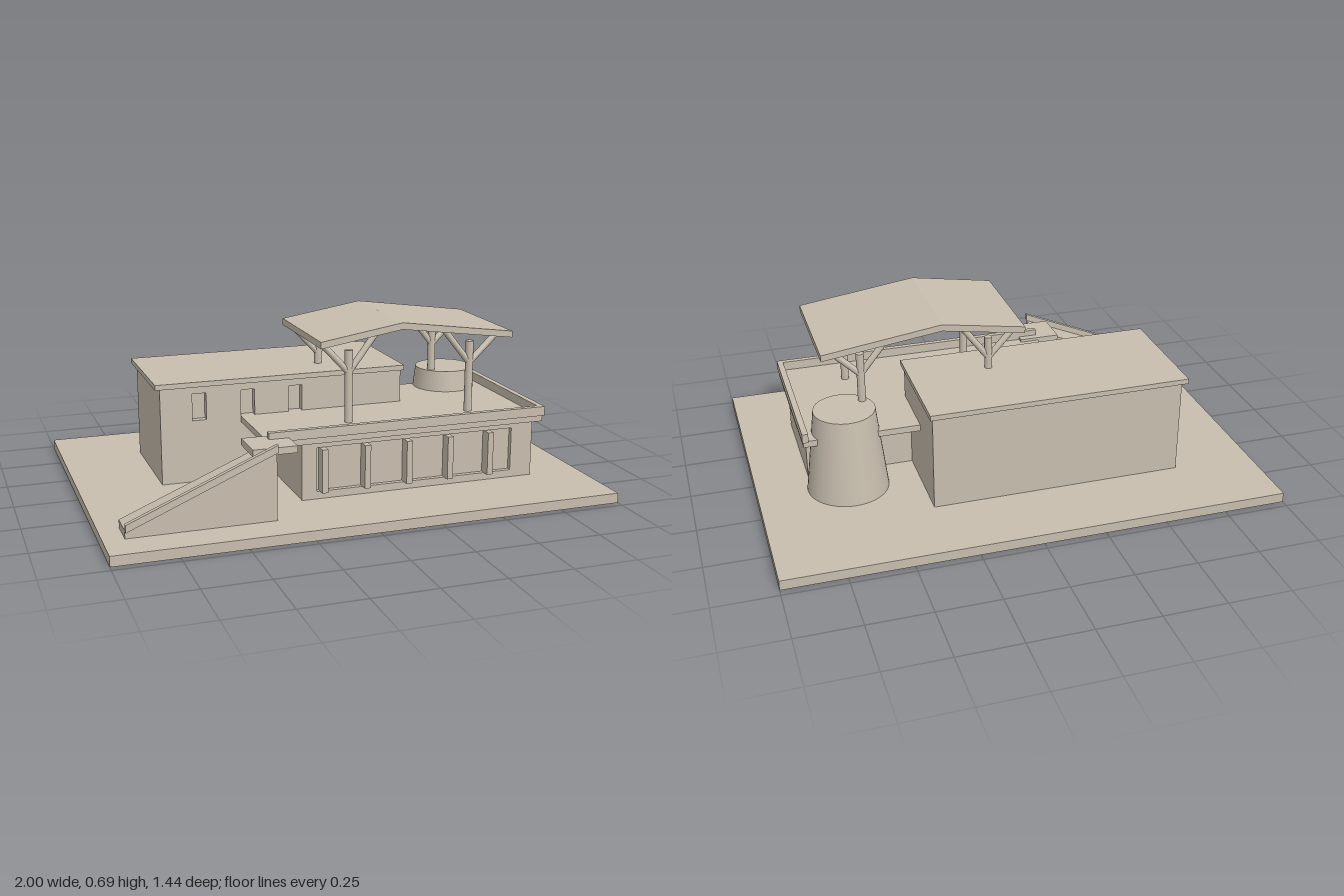
import * as THREE from 'three';

export function createModel() {
  const model = new THREE.Group();
  model.name = 'terraceHouse';
  const clay = new THREE.MeshStandardMaterial({ color: 0xc8beae });
  clay.name = 'clay';

  const add = (name, geometry, parent = model) => {
    const mesh = new THREE.Mesh(geometry, clay);
    mesh.name = name;
    parent.add(mesh);
    return mesh;
  };
  const group = (name) => {
    const g = new THREE.Group();
    g.name = name;
    model.add(g);
    return g;
  };
  // Box from its extents on each axis
  const box = (name, [x0, x1], [y0, y1], [z0, z1], parent) => {
    const mesh = add(name, new THREE.BoxGeometry(x1 - x0, y1 - y0, z1 - z0), parent);
    mesh.position.set((x0 + x1) / 2, (y0 + y1) / 2, (z0 + z1) / 2);
    return mesh;
  };
  const outline = (points, Kind = THREE.Shape) =>
    new Kind(points.map(([x, y]) => new THREE.Vector2(x, y)));
  const rect = (x0, x1, y0, y1) => [[x0, y0], [x1, y0], [x1, y1], [x0, y1]];
  // Profile in x and y, extruded from z0 to z1
  const slab = (name, points, z0, z1, holes = [], parent) => {
    const shape = outline(points);
    holes.forEach((h) => shape.holes.push(outline(h, THREE.Path)));
    const geometry = new THREE.ExtrudeGeometry(shape, { depth: z1 - z0, bevelEnabled: false });
    geometry.translate(0, 0, z0);
    return add(name, geometry, parent);
  };
  // Round bar between two points
  const bar = (name, from, to, radius, parent) => {
    const a = new THREE.Vector3(...from);
    const b = new THREE.Vector3(...to);
    const dir = b.clone().sub(a);
    const mesh = add(name, new THREE.CylinderGeometry(radius, radius, dir.length(), 16), parent);
    mesh.position.copy(a).add(b).multiplyScalar(0.5);
    mesh.quaternion.setFromUnitVectors(new THREE.Vector3(0, 1, 0), dir.normalize());
  };

  box('ground', [-1, 1], [0, 0.04], [-0.72, 0.72]);

  // Rear block with three recessed windows and a flat roof
  const rear = group('rearBlock');
  box('rearWalls', [-0.67, 0.35], [0.04, 0.435], [-0.417, 0.015], rear);
  const windows = [-0.54, -0.34, -0.14].map((x) => rect(x, x + 0.057, 0.295, 0.405));
  slab('rearFrontWall', rect(-0.67, 0.35, 0.04, 0.435), 0.015, 0.045, windows, rear);
  box('rearRoof', [-0.69, 0.362], [0.434, 0.455], [-0.435, 0.057], rear);

  // Front block with a long recessed opening divided by fins
  const front = group('frontBlock');
  box('frontWalls', [-0.2, 0.783], [0.04, 0.272], [-0.05, 0.38], front);
  slab('frontWall', rect(-0.2, 0.783, 0.04, 0.272), 0.38, 0.4,
    [rect(-0.14, 0.69, 0.07, 0.247)], front);
  for (let i = 0; i < 5; i++) {
    const x = -0.115 + i * 0.175;
    box('fin', [x - 0.012, x + 0.012], [0.07, 0.245], [0.37, 0.43], front);
  }

  // Terrace floor and its low parapet
  const terrace = group('terrace');
  box('terraceFloor', [-0.342, 0.813], [0.272, 0.298], [-0.215, 0.427], terrace);
  box('frontParapet', [-0.342, 0.817], [0.297, 0.335], [0.415, 0.437], terrace);
  box('sideParapet', [0.793, 0.817], [0.297, 0.335], [-0.225, 0.416], terrace);

  // Ramp, its outer rail and the landing
  const ramp = group('ramp');
  slab('rampBody', [[-0.92, 0.04], [-0.353, 0.04], [-0.353, 0.308], [-0.92, 0.072]],
    0.46, 0.577, [], ramp);
  slab('rampRail', [[-0.92, 0.068], [-0.353, 0.308], [-0.353, 0.337], [-0.92, 0.097]],
    0.577, 0.597, [], ramp);
  box('landing', [-0.435, -0.263], [0.283, 0.31], [0.385, 0.543], ramp);

  // Tapered round tower
  const tower = add('tower', new THREE.CylinderGeometry(0.122, 0.163, 0.345, 48));
  tower.position.set(0.638, 0.2125, -0.156);

  // Folded canopy on four braced posts
  const canopy = group('canopy');
  slab('canopyRoof', [[-0.097, 0.614], [0.24, 0.668], [0.717, 0.603], [0.717, 0.629],
    [0.24, 0.695], [-0.097, 0.641]], -0.165, 0.325, [], canopy);
  for (const z of [-0.104, 0.268]) {
    for (const [x, tops] of [
      [0.037, [[-0.075, 0.622], [0.155, 0.657]]],
      [0.556, [[0.442, 0.643], [0.672, 0.613]]],
    ]) {
      bar('post', [x, 0.29, z], [x, 0.59, z], 0.016, canopy);
      tops.forEach(([tx, ty]) => bar('brace', [x, 0.5, z], [tx, ty, z], 0.013, canopy));
    }
  }
  return model;
}
